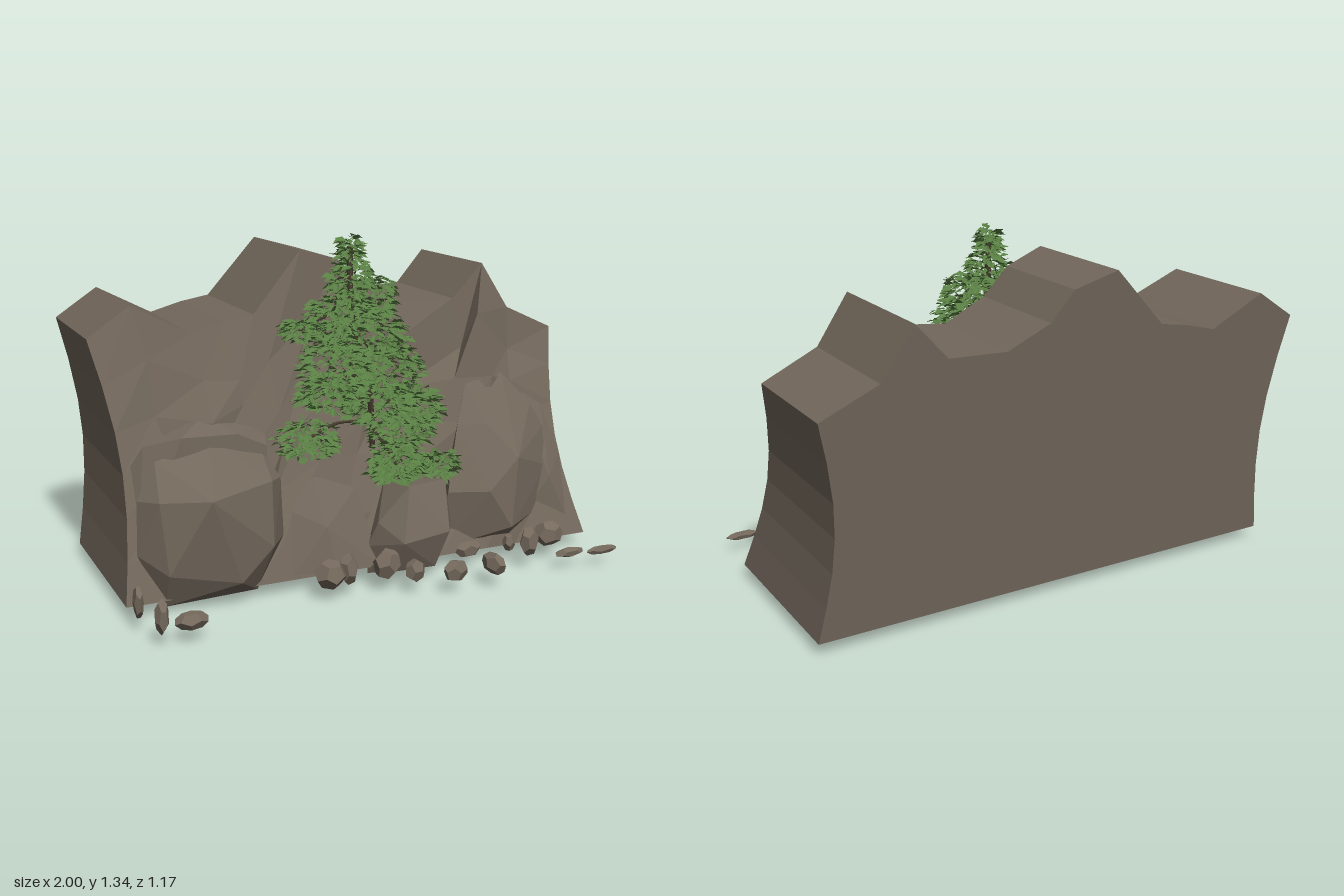
import * as THREE from 'three';
import { ConvexGeometry } from 'three/addons/geometries/ConvexGeometry.js';

const V = (x, y, z) => new THREE.Vector3(x, y, z);

function seeded(seed) {
  return () => {
    seed = (seed * 16807) % 2147483647;
    return seed / 2147483647;
  };
}

// Unshared corners keep every facet flat
function fromCorners(corners) {
  const g = new THREE.BufferGeometry().setFromPoints(corners);
  g.computeVertexNormals();
  return g;
}

// Cliff: stacked rings, each a rough front row and a straight back row
function cliffGeometry() {
  const rand = seeded(71);
  // x, crest height, z of the front crest, recess of the face
  const crest = [
    [-1, 0.98, -0.04, 0], [-0.83, 1.09, -0.055, 0.01], [-0.61, 0.975, -0.01, -0.01],
    [-0.48, 1.01, -0.015, 0], [-0.36, 1.03, -0.02, 0.02], [-0.14, 1.26, -0.08, 0.03],
    [0.04, 1.21, -0.13, 0.05], [0.13, 1.1, -0.11, 0.06], [0.3, 1.02, -0.12, 0.06],
    [0.53, 1.03, -0.06, 0.02], [0.66, 1.17, -0.05, -0.02], [0.78, 0.98, -0.04, 0],
    [1, 0.88, -0.05, 0],
  ];
  const last = crest.length - 1;
  const rows = [0, 0.16, 0.32, 0.48, 0.64, 0.82, 1].map((t) => {
    const bulge = Math.sin(Math.PI * t);
    const front = [], back = [];
    crest.forEach(([cx, top, cz, recess], i) => {
      const y = 0.05 + t * (top - 0.05);
      const x = (cx < 0 ? cx * (0.97 + 0.03 * t) : cx) * (1 - 0.06 * bulge);
      const edge = i === 0 || i === last || t === 0 || t === 1;
      const jx = edge ? 0 : (rand() - 0.5) * 0.09;
      const jy = edge ? 0 : (rand() - 0.5) * 0.09;
      const jz = edge ? 0 : (rand() - 0.5) * 0.05;
      front.push(V(x + jx, y + jy, 0.27 + t * (cz - 0.27) - recess * bulge + jz));
      back.push(V(x, y, -0.47 - 0.1 * (y - 0.05)));
    });
    return { front, back, ring: [...front, ...back.reverse()] };
  });
  const out = [];
  const quad = (a, b, c, d) => out.push(a, b, c, a, c, d);
  for (let r = 0; r < rows.length - 1; r++) {
    const lo = rows[r].ring, hi = rows[r + 1].ring;
    for (let i = 0; i < lo.length; i++) {
      const j = (i + 1) % lo.length;
      quad(lo[i], lo[j], hi[j], hi[i]);
    }
  }
  const top = rows[rows.length - 1].ring, base = rows[0].ring, n = base.length;
  for (let i = 0; i < last; i++) {
    quad(top[i], top[i + 1], top[n - 2 - i], top[n - 1 - i]);
    quad(base[i], base[n - 1 - i], base[n - 2 - i], base[i + 1]);
  }
  return fromCorners(out);
}

// Foliage: small folded leaves spread over ellipsoid clumps, lying flat and drooping outwards
function foliageGeometry() {
  const rand = seeded(1234);
  // centre x, y, z then radii x, y, z
  const clumps = [
    [0.01, 1.27, 0.06, 0.035, 0.06, 0.035], [0.01, 1.15, 0.07, 0.08, 0.08, 0.07],
    [0.1, 1.07, 0.04, 0.1, 0.1, 0.1], [-0.08, 1.04, 0.16, 0.12, 0.09, 0.11],
    [-0.22, 0.98, 0.1, 0.06, 0.04, 0.06], [0.05, 0.93, 0.13, 0.16, 0.12, 0.15],
    [-0.1, 0.85, 0.17, 0.13, 0.12, 0.13], [0.12, 0.8, 0.15, 0.14, 0.12, 0.14],
    [-0.14, 0.75, 0.22, 0.12, 0.07, 0.13], [0.05, 0.7, 0.24, 0.15, 0.09, 0.14],
    [0.25, 0.64, 0.14, 0.1, 0.09, 0.12], [-0.23, 0.57, 0.18, 0.12, 0.08, 0.11],
    [0.16, 0.58, 0.22, 0.12, 0.07, 0.11], [0.07, 0.51, 0.36, 0.1, 0.07, 0.1],
    [0.08, 0.45, 0.33, 0.1, 0.04, 0.09], [0.33, 0.42, 0.23, 0.055, 0.055, 0.06],
  ];
  const out = [], up = V(0, 1, 0);
  for (const [cx, cy, cz, rx, ry, rz] of clumps) {
    const count = Math.round(110 + 20000 * (rx * ry + ry * rz + rx * rz) / 3);
    for (let i = 0; i < count; i++) {
      const a = rand() * Math.PI * 2, h = rand() * 2 - 1, k = Math.sqrt(1 - h * h);
      const s = 0.6 + 0.4 * rand();
      const p = V(cx + rx * s * k * Math.cos(a), cy + ry * s * h, cz + rz * s * k * Math.sin(a));
      const turn = a + (rand() - 0.5) * 2;
      const dir = V(Math.cos(turn), 0.25 - 0.8 * rand(), Math.sin(turn)).normalize();
      const side = dir.clone().cross(up).normalize().applyAxisAngle(dir, (rand() - 0.5) * 1.4);
      const len = 0.032 + 0.022 * rand();
      const mid = p.clone().addScaledVector(dir, len * 0.45);
      mid.y += 0.005;
      const l = mid.clone().addScaledVector(side, -len * 0.27);
      const r = mid.clone().addScaledVector(side, len * 0.27);
      const tip = p.clone().addScaledVector(dir, len);
      out.push(p, r, tip, p, tip, l);
    }
  }
  return fromCorners(out);
}

export function createModel() {
  const model = new THREE.Group();
  model.name = 'rockyCliff';
  const mat = (name, color, extra) => {
    const m = new THREE.MeshStandardMaterial({ color, ...extra });
    m.name = name;
    return m;
  };
  const stone = mat('stone', 0x72675b, { flatShading: true });
  const pebble = mat('pebbleStone', 0x766a5d, { flatShading: true });
  const leaf = mat('leafGreen', 0x5a8044, { side: THREE.DoubleSide });
  const bark = mat('bark', 0x4a3c30);
  const add = (name, geometry, material, parent = model) => {
    const m = new THREE.Mesh(geometry, material);
    m.name = name;
    parent.add(m);
    return m;
  };

  add('cliff', cliffGeometry(), stone);

  // Boulders as convex hulls of a few corners
  const boulders = {
    leftBoulder: [
      [-0.91, 0.22, 0.22], [-0.9, 0.42, 0.2], [-0.82, 0.55, 0.17], [-0.6, 0.61, 0.14],
      [-0.4, 0.54, 0.15], [-0.35, 0.45, 0.22], [-0.34, 0.22, 0.22], [-0.46, 0.03, 0.25],
      [-0.82, 0.02, 0.25], [-0.84, 0.43, 0.29], [-0.67, 0.44, 0.38], [-0.41, 0.46, 0.29],
      [-0.42, 0.22, 0.33], [-0.55, 0.1, 0.34], [-0.82, 0.16, 0.32], [-0.6, 0.015, 0.02],
    ],
    leftLedge: [
      [-0.91, 0.5, 0.1], [-0.85, 0.6, 0.13], [-0.72, 0.63, 0.18], [-0.6, 0.68, 0.07],
      [-0.36, 0.63, 0.06], [-0.38, 0.56, 0.16], [-0.5, 0.62, 0.17], [-0.9, 0.2, 0.2],
      [-0.4, 0.2, 0.2], [-0.6, 0.3, -0.05],
    ],
    middleLump: [
      [-0.32, 0.07, 0.27], [-0.3, 0.3, 0.2], [-0.2, 0.42, 0.16], [-0.03, 0.36, 0.2],
      [0.03, 0.07, 0.3], [-0.18, 0.24, 0.27], [-0.15, 0.07, 0.31], [-0.1, 0.2, 0],
    ],
    centreBoulder: [
      [-0.01, 0.14, 0.27], [0.02, 0.24, 0.3], [0.14, 0.38, 0.33], [0.31, 0.38, 0.3],
      [0.34, 0.2, 0.3], [0.31, 0.03, 0.25], [0, 0.02, 0.25], [0.08, 0.18, 0.41],
      [0.28, 0.2, 0.4], [0.24, 0.05, 0.36], [0.07, 0.05, 0.35], [0.12, 0.37, 0.15],
      [0.3, 0.34, 0.12], [0.18, 0.01, 0.1],
    ],
    rightBoulder: [
      [0.34, 0.05, 0.2], [0.36, 0.3, 0.24], [0.44, 0.55, 0.16], [0.52, 0.7, 0.08],
      [0.69, 0.73, 0.08], [0.8, 0.6, 0.13], [0.86, 0.5, 0.14], [0.86, 0.34, 0.18],
      [0.78, 0.16, 0.22], [0.66, 0.02, 0.18], [0.6, 0, -0.06], [0.4, 0.02, 0.05],
      [0.52, 0.3, 0.3], [0.66, 0.42, 0.28], [0.62, 0.14, 0.31], [0.56, 0.55, 0.19],
    ],
    rightLedge: [
      [0.78, 0.65, 0.06], [0.88, 0.58, 0.09], [0.9, 0.46, 0.13], [0.94, 0.38, 0.15],
      [0.85, 0.3, 0.22], [0.93, 0.12, 0.24], [0.7, 0.1, 0.2], [0.8, 0.3, 0],
    ],
  };
  for (const [name, pts] of Object.entries(boulders)) {
    add(name, new ConvexGeometry(pts.map((p) => V(...p))), stone);
  }

  // Pebbles along the foot: centre x, y, z then full width, height, depth
  const pebbles = new THREE.Group();
  pebbles.name = 'pebbles';
  model.add(pebbles);
  const stones = [
    [-0.955, 0.11, 0.38, 0.035, 0.12, 0.07], [-0.915, 0.11, 0.535, 0.05, 0.13, 0.06],
    [-0.81, 0.08, 0.54, 0.12, 0.065, 0.07], [-0.22, 0.1, 0.39, 0.12, 0.11, 0.11],
    [-0.14, 0.105, 0.38, 0.07, 0.12, 0.07], [0.01, 0.11, 0.4, 0.11, 0.12, 0.07],
    [0.1, 0.09, 0.46, 0.08, 0.09, 0.06], [0.24, 0.09, 0.525, 0.1, 0.09, 0.05],
    [0.41, 0.09, 0.52, 0.07, 0.08, 0.13], [0.4, 0.09, 0.34, 0.11, 0.07, 0.045],
    [0.6, 0.08, 0.32, 0.05, 0.07, 0.05], [0.64, 0.11, 0.41, 0.08, 0.12, 0.06],
    [0.775, 0.1, 0.34, 0.12, 0.1, 0.1], [0.785, 0.065, 0.48, 0.13, 0.04, 0.035],
    [0.92, 0.065, 0.51, 0.14, 0.035, 0.025],
  ];
  stones.forEach(([x, y, z, w, h, d], i) => {
    const g = new THREE.DodecahedronGeometry(0.53);
    g.rotateX(i * 1.3).rotateY(i * 2.1).scale(w, h, d);
    add('pebble', g, pebble, pebbles).position.set(x, y, z);
  });

  // Shrub: bent trunk, side branches and leaves
  const shrub = new THREE.Group();
  shrub.name = 'shrub';
  model.add(shrub);
  const branch = (name, radius, ...pts) => add(name, new THREE.TubeGeometry(
    new THREE.CatmullRomCurve3(pts), 8, radius, 5), bark, shrub);
  branch('trunk', 0.012, V(0.08, 0.5, 0.12), V(0.04, 0.75, 0.17), V(0, 1, 0.1), V(0.01, 1.28, 0.06));
  const tips = [
    [-0.23, 0.57, 0.18], [0.07, 0.48, 0.36], [0.26, 0.64, 0.14], [0.33, 0.43, 0.23],
    [-0.14, 0.76, 0.22], [-0.22, 0.98, 0.1],
  ];
  for (const [x, y, z] of tips) {
    branch('branch', 0.006, V(0.05, Math.max(0.6, y - 0.08), 0.15),
      V(x * 0.5 + 0.03, y + 0.05, z * 0.6 + 0.06), V(x, y, z));
  }
  add('foliage', foliageGeometry(), leaf, shrub);

  return model;
}
